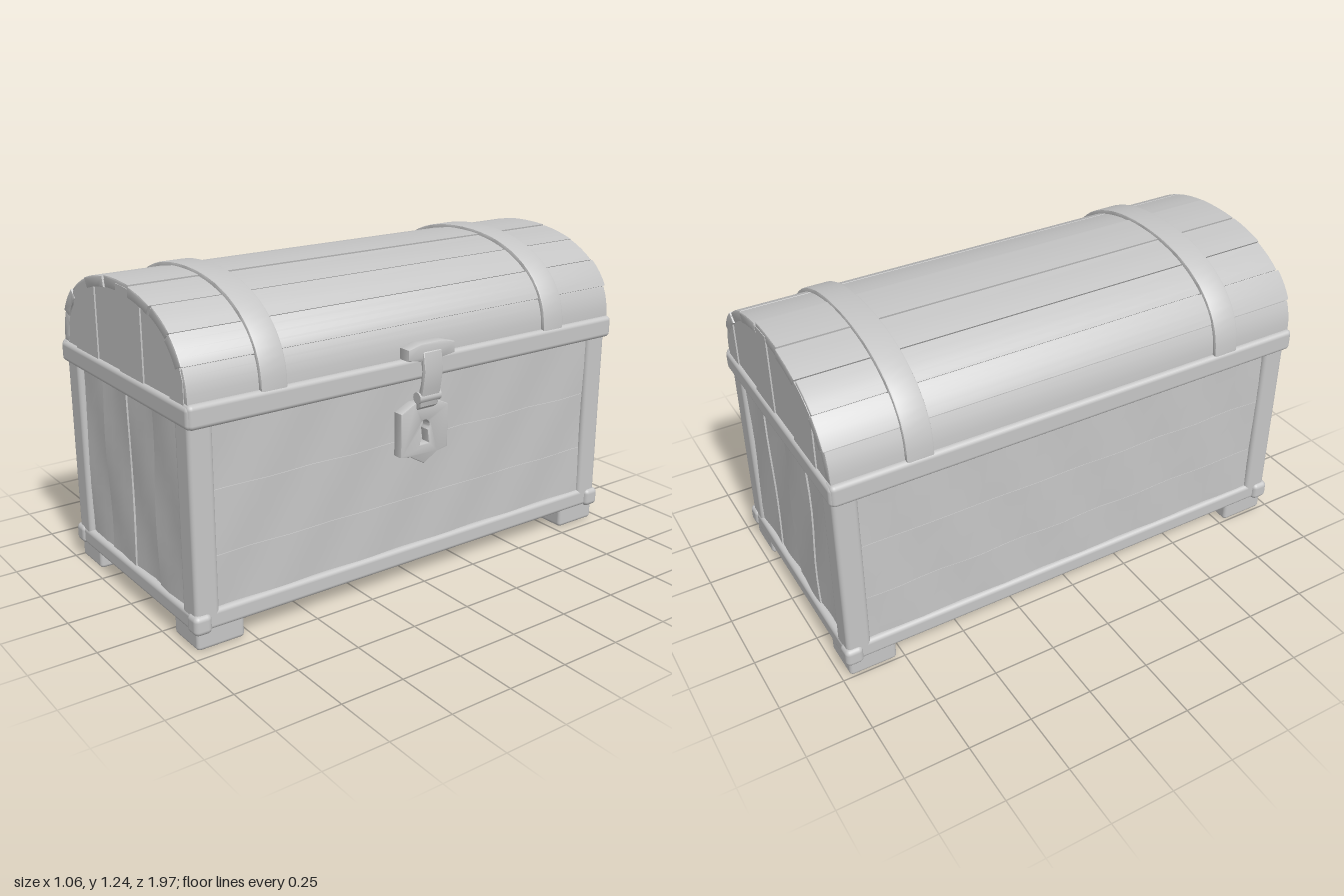
import * as THREE from 'three';
import { toCreasedNormals } from 'three/addons/utils/BufferGeometryUtils.js';
import { RoundedBoxGeometry } from 'three/addons/geometries/RoundedBoxGeometry.js';

const CX = -0.02; // centre line of the chest; the lock sticks out at +x

export function createModel() {
  const chest = new THREE.Group();
  chest.name = 'chest';
  const grey = new THREE.MeshStandardMaterial({ color: 0xc6c6c6 });
  grey.name = 'plain grey';

  const add = (name, geometry, parent = chest) => {
    const mesh = new THREE.Mesh(geometry, grey);
    mesh.name = name;
    parent.add(mesh);
    return mesh;
  };

  // Gentle hand-hewn waviness that depends only on position
  const wear = (geometry, amount = 0.004) => {
    const p = geometry.attributes.position;
    for (let i = 0; i < p.count; i++) {
      const x = p.getX(i), y = p.getY(i), z = p.getZ(i);
      p.setXYZ(i,
        x + amount * Math.sin(17 * z + 11 * y + 2),
        y + amount * 0.6 * Math.sin(13 * x + 19 * z),
        z + amount * Math.sin(23 * x + 9 * y + 1));
    }
    geometry.computeVertexNormals();
    return geometry;
  };

  // Worn board given by its minimum and maximum corners
  const board = (name, x0, x1, y0, y1, z0, z1, amount) => {
    const size = [x1 - x0, y1 - y0, z1 - z0];
    const g = new THREE.BoxGeometry(...size, ...size.map((s) => Math.max(1, Math.ceil(s / 0.09))));
    g.translate((x0 + x1) / 2, (y0 + y1) / 2, (z0 + z1) / 2);
    return add(name, wear(g, amount));
  };

  // Rounded, worn beam between two corners
  const beam = (name, x0, x1, y0, y1, z0, z1, r = 0.018) => {
    const g = new RoundedBoxGeometry(x1 - x0, y1 - y0, z1 - z0, 3, r);
    g.translate((x0 + x1) / 2, (y0 + y1) / 2, (z0 + z1) / 2);
    return add(name, g);
  };

  // Flat outline extruded along z, centred at the given z
  const slab = (points, depth, z, bevel = 0) => {
    const g = new THREE.ExtrudeGeometry(new THREE.Shape(points), {
      depth: depth - 2 * bevel, bevelEnabled: bevel > 0,
      bevelThickness: bevel, bevelSize: bevel, bevelOffset: -bevel, bevelSegments: 2,
    });
    g.translate(0, 0, z - depth / 2 + bevel);
    return toCreasedNormals(g, 0.6);
  };

  // Point on the lid arch, t from 0 (right spring) to 1 (left spring)
  const arch = (t, offset = 0) => {
    const a = t * Math.PI, c = Math.cos(a), s = Math.max(0, Math.sin(a));
    return new THREE.Vector2(
      CX + (0.485 + offset) * Math.sign(c) * Math.abs(c) ** 0.91,
      0.90 + (0.325 + offset) * s ** 0.91);
  };
  const arc = (t0, t1, n, offset) =>
    Array.from({ length: n + 1 }, (_, i) => arch(t0 + (t1 - t0) * i / n, offset));
  const archBand = (t0, t1, n, outer, inner) =>
    [...arc(t0, t1, n, outer), ...arc(t0, t1, n, inner).reverse()];

  // Body core with planked ends and sides
  beam('bodyCore', -0.475, 0.435, 0.07, 0.84, -0.945, 0.945, 0.01);
  for (const s of [-1, 1]) {
    const cuts = [-0.42, -0.22, -0.02, 0.17, 0.38];
    for (let i = 0; i < 4; i++) {
      const out = 0.952 + (i % 2) * 0.006;
      board('endPlank', cuts[i] + 0.001, cuts[i + 1] - 0.001, 0.1, 0.83,
        s < 0 ? -out : 0.93, s < 0 ? -0.93 : out);
    }
    const x = CX + s * 0.45;
    for (let i = 0; i < 3; i++) {
      board('sidePlank', x - 0.013, x + 0.013, 0.1 + i * 0.24, 0.338 + i * 0.24, -0.92, 0.92, 0.003);
    }
  }

  // Corner posts, bottom rails, feet and corner caps
  for (const sx of [-1, 1]) {
    for (const sz of [-1, 1]) {
      const box = (name, w, d, y0, y1, ox, oz, r) => {
        const cx = CX + sx * (ox - w / 2), cz = sz * (oz - d / 2);
        return beam(name, cx - w / 2, cx + w / 2, y0, y1, cz - d / 2, cz + d / 2, r);
      };
      box('cornerPost', 0.1, 0.095, 0.08, 0.84, 0.48, 0.972);
      box('foot', 0.17, 0.19, 0.0, 0.1, 0.475, 0.968, 0.015);
      box('cornerCap', 0.07, 0.07, 0.065, 0.14, 0.494, 0.983, 0.02);
    }
    const x = CX + sx * 0.45;
    beam('sideRail', x - 0.03, x + 0.03, 0.07, 0.145, -0.96, 0.96);
    const z = sx * 0.945;
    beam('endRail', CX - 0.47, CX + 0.47, 0.065, 0.138, z - 0.03, z + 0.03);
  }

  // Lid rim
  for (const s of [-1, 1]) {
    const x = CX + s * 0.475;
    beam('lidSideRim', x - 0.03, x + 0.03, 0.818, 0.905, -0.98, 0.98);
    beam('lidEndRim', CX - 0.5, CX + 0.5, 0.818, 0.9, s * 0.955 - 0.03, s * 0.955 + 0.03);
  }

  // Arched lid core
  add('lidCore', slab(
    [...arc(0, 1, 32, -0.012), new THREE.Vector2(CX - 0.47, 0.825), new THREE.Vector2(CX + 0.47, 0.825)],
    1.9, 0));

  // Long staves with fine gaps between them
  const staves = 9;
  for (let i = 0; i < staves; i++) {
    const lift = [0, 0.004, 0.001][i % 3];
    add('lidStave', slab(
      archBand(i / staves + 0.0015, (i + 1) / staves - 0.0015, 4, lift, -0.04),
      1.945 + (i % 2) * 0.01, 0, 0.005));
  }

  // Upright planks closing the lid ends
  const ends = [-0.485, -0.39, -0.2, -0.02, 0.16, 0.35, 0.445];
  const archHeight = (x) => {
    const u = Math.min(1, Math.abs(x - CX) / 0.474);
    return 0.90 + 0.314 * (1 - u ** 2.2) ** (1 / 2.2);
  };
  for (const s of [-1, 1]) {
    for (let i = 0; i < 6; i++) {
      const a = ends[i] + 0.001, b = ends[i + 1] - 0.001;
      const points = [new THREE.Vector2(b, 0.86)];
      for (let k = 0; k <= 6; k++) {
        const x = b + (a - b) * k / 6;
        points.push(new THREE.Vector2(x, archHeight(x)));
      }
      points.push(new THREE.Vector2(a, 0.86));
      add('lidEndPlank', slab(points, 0.04, s * (0.95 + (i % 2) * 0.005)));
    }
  }

  // Two raised straps over the lid
  for (const z of [-0.65, 0.65]) {
    add('lidStrap', slab(archBand(0, 1, 32, 0.016, -0.02), 0.105, z, 0.007));
  }

  // Lock on the +x side
  const lock = new THREE.Group();
  lock.name = 'lock';
  chest.add(lock);
  const sidePlate = (outline, depth, x, hole) => {
    const shape = new THREE.Shape(outline.map(([u, v]) => new THREE.Vector2(u, v)));
    if (hole) shape.holes.push(hole);
    const g = new THREE.ExtrudeGeometry(shape, {
      depth: depth - 0.012, bevelThickness: 0.006, bevelSize: 0.006, bevelOffset: -0.006, bevelSegments: 2,
    });
    g.rotateY(Math.PI / 2);
    g.translate(x + 0.006, 0, 0);
    return toCreasedNormals(g, 0.6);
  };
  const keyhole = new THREE.Path();
  keyhole.absarc(0, 0.635, 0.022, -Math.PI * 0.3, Math.PI * 1.3, false);
  keyhole.lineTo(-0.02, 0.565);
  keyhole.lineTo(0.02, 0.565);
  keyhole.closePath();
  add('shieldPlate', sidePlate([
    [0, 0.485], [0.06, 0.52], [0.112, 0.53], [0.112, 0.7], [0.05, 0.73],
    [-0.05, 0.73], [-0.112, 0.7], [-0.112, 0.53], [-0.06, 0.52],
  ], 0.045, 0.44, keyhole), lock);
  add('hingeBar', sidePlate([
    [0.05, 0.9], [0.108, 0.908], [0.108, 0.95], [0.05, 0.965],
    [-0.05, 0.965], [-0.108, 0.95], [-0.108, 0.908], [-0.05, 0.9],
  ], 0.055, 0.462), lock);

  // Curved hasp running from the bar down to the shield
  const outer = [[0.495, 0.955], [0.52, 0.93], [0.531, 0.86], [0.52, 0.79], [0.505, 0.72], [0.485, 0.705]];
  const inner = [[0.475, 0.72], [0.49, 0.76], [0.505, 0.81], [0.511, 0.86], [0.502, 0.91], [0.48, 0.93]];
  add('hasp', slab([...outer, ...inner].map(([x, y]) => new THREE.Vector2(x, y)).reverse(), 0.085, 0, 0.004), lock);
  const pin = add('haspPin', new THREE.CylinderGeometry(0.022, 0.022, 0.1, 12), lock);
  pin.rotation.x = Math.PI / 2;
  pin.position.set(0.495, 0.755, 0);

  return chest;
}
